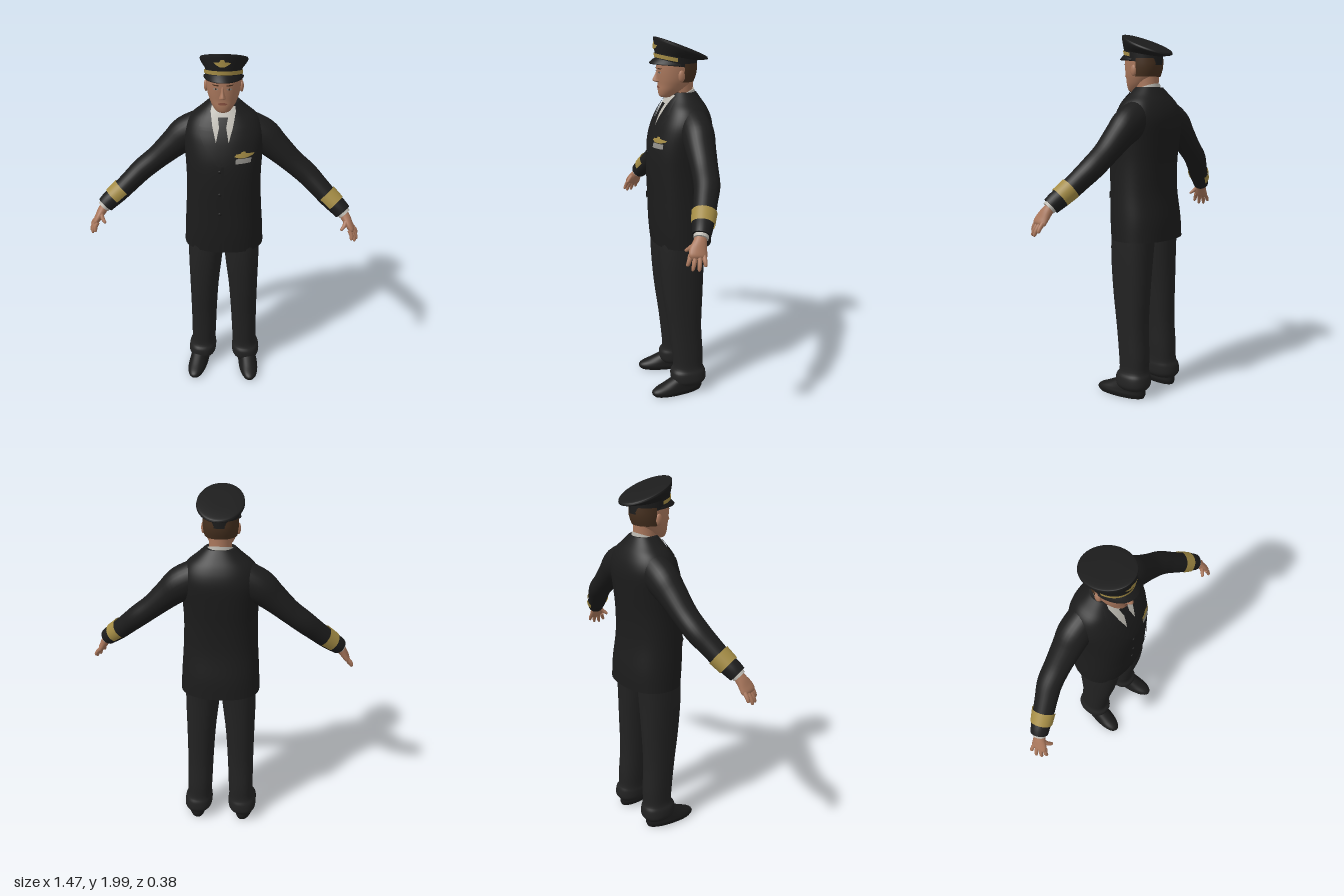
import * as THREE from 'three';

const mat = (name, color) => new THREE.MeshStandardMaterial({ name, color, side: THREE.DoubleSide });
const M = {
  coat: mat('coat black', 0x1c1c1c), trousers: mat('trouser black', 0x222222), shoe: mat('shoe black', 0x1a1a1a),
  skin: mat('skin', 0xa9775c), hair: mat('hair brown', 0x46301f), gold: mat('gold braid', 0xa48c45),
  shirt: mat('shirt white', 0xbdbab2), plate: mat('plate grey', 0x8f8d88), lips: mat('lips', 0x86503f),
};

// Skin a list of point rings; open rings make shells, closed ones get caps
function loft(rings, closed = true) {
  const n = rings[0].length, pos = [], idx = [];
  const add = (v) => pos.push(v.x, v.y, v.z) / 3 - 1;
  rings.forEach((r) => r.forEach(add));
  for (let i = 0; i < rings.length - 1; i++)
    for (let j = 0; j < (closed ? n : n - 1); j++) {
      const a = i * n + j, b = i * n + (j + 1) % n;
      idx.push(a, b, a + n, b, b + n, a + n);
    }
  if (closed) for (const end of [0, rings.length - 1]) {
    const r = rings[end], c = new THREE.Vector3();
    r.forEach((v) => c.addScaledVector(v, 1 / n));
    const k = add(c), ids = r.map(add);
    for (let j = 0; j < n; j++) {
      const p = ids[j], q = ids[(j + 1) % n];
      if (end) idx.push(k, p, q); else idx.push(k, q, p);
    }
  }
  const g = new THREE.BufferGeometry();
  g.setAttribute('position', new THREE.Float32BufferAttribute(pos, 3));
  g.setIndex(idx);
  g.computeVertexNormals();
  return g;
}

// Catmull-Rom resampling of rows of numbers
function smooth(rows, k = 4) {
  const out = [], at = (i) => rows[Math.min(Math.max(i, 0), rows.length - 1)];
  for (let i = 0; i < rows.length - 1; i++)
    for (let s = 0; s < k; s++) {
      const t = s / k;
      out.push(rows[i].map((p1, c) => {
        const p0 = at(i - 1)[c], p2 = at(i + 1)[c], p3 = at(i + 2)[c];
        return p1 + 0.5 * t * (p2 - p0 + t * (2 * p0 - 5 * p1 + 4 * p2 - p3 + t * (3 * (p1 - p2) + p3 - p0)));
      }));
    }
  out.push(rows[rows.length - 1]);
  return out;
}

const pw = (v, p) => Math.sign(v) * Math.abs(v) ** (2 / p);
const angles = (n, from, to) => Array.from({ length: from === undefined ? n : n + 1 },
  (_, j) => from === undefined ? (j / n) * Math.PI * 2 : THREE.MathUtils.degToRad(from + (to - from) * j / n));

// Horizontal sections: [y, xMin, xMax, zBack, zFront, slope]
function stack(rows, p = 2, from, to, n = 40) {
  return loft(rows.map(([y, x0, x1, z0, z1, slope = 0]) => angles(n, from, to).map((a) => {
    const z = (z0 + z1) / 2 + (z1 - z0) / 2 * pw(Math.cos(a), p);
    return new THREE.Vector3((x0 + x1) / 2 + (x1 - x0) / 2 * pw(Math.sin(a), p), y + slope * z, z);
  })), from === undefined);
}

// Front z of a stack at a given x and y
const frontOf = (rows, p) => (x, y) => {
  let i = 0;
  while (i < rows.length - 2 && rows[i + 1][0] < y) i++;
  const t = THREE.MathUtils.clamp((y - rows[i][0]) / (rows[i + 1][0] - rows[i][0]), 0, 1);
  const [, x0, x1, z0, z1] = rows[i].map((v, c) => v + (rows[i + 1][c] - v) * t);
  const u = Math.min(Math.abs((x - (x0 + x1) / 2) / ((x1 - x0) / 2)), 1);
  return (z0 + z1) / 2 + (z1 - z0) / 2 * (1 - u ** p) ** (1 / p);
};

// Thin sheet lying on a front surface; rows [y, xLeft, xRight] from bottom to top
function patch(rows, surf, off = 0.004) {
  const fine = [];
  rows.forEach((r, i) => {
    const q = rows[i + 1];
    if (q) for (let s = 0; s < 4; s++) fine.push(r.map((v, c) => v + (q[c] - v) * s / 4));
    else fine.push(r);
  });
  return loft(fine.map(([y, a, b]) => Array.from({ length: 11 }, (_, j) => {
    const x = a + (b - a) * j / 10;
    return new THREE.Vector3(x, y, surf(x, y) + off);
  })), false);
}

// Limb along a path: [x, y, z, radius across, radius along z]
function limb(points, from, to, n = 20, k = 4) {
  const rows = smooth(points, k), v3 = (r) => new THREE.Vector3(r[0], r[1], r[2]);
  return loft(rows.map((r, i) => {
    const d = v3(rows[Math.min(i + 1, rows.length - 1)]).sub(v3(rows[Math.max(i - 1, 0)])).normalize();
    const u = new THREE.Vector3(0, 0, 1).addScaledVector(d, -d.z).normalize(), v = d.clone().cross(u);
    return angles(n, from, to).map((a) => v3(r).addScaledVector(u, r[4] * Math.cos(a)).addScaledVector(v, r[3] * Math.sin(a)));
  }), from === undefined);
}

function mirrored(geo) {
  const g = geo.clone().scale(-1, 1, 1), ix = g.index.array;
  for (let i = 0; i < ix.length; i += 3) [ix[i], ix[i + 1]] = [ix[i + 1], ix[i]];
  g.computeVertexNormals();
  return g;
}

export function createModel() {
  const root = new THREE.Group();
  root.name = 'uniformedMan';
  const put = (name, geo, m) => {
    const mesh = new THREE.Mesh(geo, m);
    mesh.name = name;
    root.add(mesh);
  };
  const pair = (name, geo, m) => { put(name + 'Left', geo, m); put(name + 'Right', mirrored(geo), m); };
  const sym = (rows) => rows.map(([y, r, ...rest]) => [y, -r, r, ...rest]);
  const ball = (x, y, z, a, b, c) => new THREE.SphereGeometry(1, 16, 12).scale(a, b, c).translate(x, y, z);

  // Jacket
  const torso = smooth(sym([
    [0.89, 0.218, -0.19, 0.135], [1.0, 0.213, -0.186, 0.145], [1.15, 0.203, -0.166, 0.15], [1.3, 0.198, -0.168, 0.155],
    [1.42, 0.203, -0.18, 0.148], [1.52, 0.21, -0.188, 0.122], [1.58, 0.2, -0.18, 0.098], [1.63, 0.172, -0.16, 0.072],
    [1.67, 0.125, -0.135, 0.048], [1.71, 0.08, -0.108, 0.022]]));
  const chest = frontOf(torso, 2.3);
  put('jacket', stack(torso, 2.3, undefined, undefined, 56), M.coat);
  put('shirtFront', patch([[1.45, -0.008, 0.008], [1.58, -0.045, 0.045], [1.66, -0.068, 0.068], [1.7, -0.06, 0.06]], chest, 0.003), M.shirt);
  put('tie', patch([[1.44, -0.006, 0.006], [1.53, -0.034, 0.034], [1.61, -0.018, 0.018], [1.655, -0.026, 0.026]], chest, 0.008), M.coat);
  pair('lapel', patch([[1.42, -0.002, 0.02], [1.5, 0.022, 0.085], [1.59, 0.046, 0.125], [1.6, 0.049, 0.105],
    [1.61, 0.052, 0.122], [1.69, 0.066, 0.084]], chest, 0.009), M.coat);
  put('frontEdge', patch([[0.9, 0, 0.014], [1.42, -0.004, 0.01]], chest, 0.005), M.coat);
  pair('pocketFlap', patch([[1.11, 0.085, 0.175], [1.145, 0.08, 0.178]], chest, 0.007), M.coat);
  for (const y of [1.14, 1.26, 1.39]) put('button', ball(-0.012, y, chest(-0.012, y) + 0.002, 0.009, 0.009, 0.005), M.shoe);
  put('chestWings', patch([[1.463, 0.088, 0.128], [1.472, 0.058, 0.158], [1.481, 0.052, 0.164], [1.486, 0.093, 0.123],
    [1.495, 0.1, 0.116]], chest, 0.007), M.gold);
  put('namePlate', patch([[1.434, 0.07, 0.148], [1.46, 0.07, 0.148]], chest, 0.006), M.plate);

  // Sleeves, gold braid and shirt cuffs
  pair('sleeve', limb([[0.1, 1.56, -0.06, 0.095, 0.085], [0.2, 1.512, -0.062, 0.093, 0.086], [0.27, 1.455, -0.056, 0.077, 0.078],
    [0.36, 1.375, -0.048, 0.063, 0.069], [0.44, 1.31, -0.035, 0.06, 0.066], [0.5, 1.255, -0.01, 0.056, 0.06],
    [0.57, 1.19, 0.022, 0.052, 0.055], [0.62, 1.15, 0.045, 0.049, 0.05], [0.645, 1.127, 0.058, 0.045, 0.046]], undefined, undefined, 28), M.coat);
  pair('cuffBraid', limb([[0.55, 1.208, 0.013, 0.06, 0.063], [0.602, 1.164, 0.037, 0.056, 0.058]], 150, 385), M.gold);
  pair('shirtCuff', limb([[0.635, 1.137, 0.053, 0.037, 0.038], [0.655, 1.117, 0.063, 0.034, 0.036]]), M.shirt);

  // Hands: palm, four fingers and a thumb
  pair('palm', limb([[0.64, 1.13, 0.056, 0.026, 0.027], [0.662, 1.1, 0.07, 0.025, 0.034], [0.68, 1.07, 0.083, 0.021, 0.043],
    [0.695, 1.045, 0.09, 0.017, 0.044], [0.7, 1.035, 0.092, 0.006, 0.03]]), M.skin);
  const fingers = [['indexFinger', 0.682, 1.05, 0.122, 0.694, 1.0, 0.142], ['middleFinger', 0.69, 1.045, 0.102, 0.715, 0.982, 0.122],
    ['ringFinger', 0.695, 1.045, 0.081, 0.729, 0.982, 0.094], ['littleFinger', 0.694, 1.05, 0.061, 0.73, 1.002, 0.062],
    ['thumb', 0.662, 1.093, 0.098, 0.634, 1.055, 0.135]];
  for (const [name, x, y, z, X, Y, Z] of fingers) {
    const at = (t, r, bow) => [x + (X - x) * t + bow, y + (Y - y) * t, z + (Z - z) * t, r, r];
    pair(name, limb([at(0, 0.012, 0), at(0.5, 0.011, 0.005), at(0.9, 0.008, 0.001), at(1, 0.002, 0)], undefined, undefined, 10, 3), M.skin);
  }

  // Trousers with gathered hems
  pair('trouserLeg', stack(smooth([
    [0.05, 0.068, 0.2, -0.125, 0.045], [0.075, 0.052, 0.214, -0.14, 0.062], [0.12, 0.05, 0.21, -0.137, 0.064],
    [0.155, 0.054, 0.196, -0.124, 0.046], [0.24, 0.05, 0.194, -0.124, 0.052], [0.4, 0.043, 0.193, -0.115, 0.07],
    [0.6, 0.03, 0.195, -0.122, 0.098], [0.8, 0.008, 0.198, -0.13, 0.115], [0.95, -0.004, 0.195, -0.14, 0.115]]), 2.3), M.trousers);

  // Shoes
  pair('shoe', stack(smooth(sym([[0, 0.05, -0.112, 0.175], [0.02, 0.057, -0.12, 0.188], [0.04, 0.054, -0.12, 0.172],
    [0.062, 0.05, -0.118, 0.12], [0.095, 0.044, -0.105, 0.05]])), 2.2).rotateY(0.13).translate(0.147, 0, 0), M.shoe);

  // Neck, shirt collar and head
  put('neck', stack(sym([[1.62, 0.062, -0.1, 0.03], [1.7, 0.058, -0.092, 0.032], [1.78, 0.06, -0.095, 0.04]])), M.skin);
  put('shirtCollar', stack(sym([[1.65, 0.078, -0.105, 0.042, -0.3], [1.695, 0.067, -0.1, 0.036, -0.35]])), M.shirt);
  const skull = smooth(sym([[1.684, 0.02, 0.02, 0.075], [1.692, 0.038, 0.0, 0.088], [1.72, 0.06, -0.045, 0.094],
    [1.75, 0.074, -0.075, 0.094], [1.78, 0.083, -0.095, 0.097], [1.82, 0.088, -0.107, 0.1], [1.86, 0.089, -0.108, 0.099],
    [1.9, 0.086, -0.1, 0.092]]));
  const face = frontOf(skull, 2.2);
  put('head', stack(skull, 2.2), M.skin);
  put('nose', stack(smooth(sym([[1.762, 0.009, 0.07, 0.1], [1.769, 0.018, 0.07, 0.121], [1.778, 0.014, 0.07, 0.124],
    [1.8, 0.009, 0.07, 0.112], [1.828, 0.009, 0.07, 0.1]])), 2, undefined, undefined, 16), M.skin);
  put('mouth', patch([[1.731, -0.013, 0.013], [1.737, -0.026, 0.026], [1.743, -0.012, 0.012]], face, 0.002), M.lips);
  pair('eye', patch([[1.81, 0.028, 0.039], [1.814, 0.02, 0.047], [1.819, 0.026, 0.041]], face, 0.002), M.plate);
  pair('iris', patch([[1.81, 0.031, 0.036], [1.815, 0.029, 0.038], [1.82, 0.031, 0.036]], face, 0.003), M.hair);
  pair('eyebrow', patch([[1.831, 0.018, 0.046], [1.837, 0.02, 0.054]], face, 0.003), M.hair);
  pair('ear', ball(0.09, 1.798, -0.008, 0.011, 0.03, 0.018), M.skin);
  const scalp = (y) => {
    const r = skull.find((s) => s[0] >= y);
    return [y, r[1] - 0.004, r[2] + 0.004, r[3] - 0.004, r[4]];
  };
  put('hair', stack([1.765, 1.785, 1.81, 1.835, 1.86].map(scalp), 2.2, 98, 262), M.hair);

  // Peaked cap
  put('capBand', stack(sym([[1.848, 0.092, -0.114, 0.106, 0.2], [1.9, 0.094, -0.116, 0.11, 0.2]])), M.coat);
  put('capCrown', stack(smooth(sym([[1.893, 0.094, -0.116, 0.11, 0.2], [1.915, 0.11, -0.148, 0.113, 0.3], [1.934, 0.12, -0.17, 0.115, 0.36],
    [1.945, 0.12, -0.172, 0.115, 0.38], [1.952, 0.113, -0.163, 0.11, 0.38], [1.957, 0.07, -0.11, 0.06, 0.38],
    [1.958, 0.01, -0.04, -0.02, 0.38]])), 2), M.coat);
  put('capBraid', stack(sym([[1.868, 0.097, -0.118, 0.113, 0.2], [1.888, 0.098, -0.119, 0.114, 0.2]]), 2, -82, 82), M.gold);
  const brim = (rx, rz, y, lift) => angles(28, -88, 88).map((a) =>
    new THREE.Vector3(rx * Math.sin(a), y + lift * Math.cos(a), -0.005 + rz * Math.cos(a)));
  put('capVisor', loft([brim(0.09, 0.1, 1.846, 0.01), brim(0.1, 0.143, 1.85, 0.008), brim(0.101, 0.145, 1.854, 0.01),
    brim(0.096, 0.115, 1.858, 0.03)], false), M.shoe);
  const crownFront = (x) => -0.03 + 0.145 * Math.sqrt(1 - (x / 0.12) ** 2);
  put('capEmblem', patch([[1.932, -0.012, 0.012], [1.941, -0.03, 0.03], [1.952, -0.044, 0.044], [1.957, -0.014, 0.014],
    [1.968, -0.008, 0.008]], crownFront, 0.003), M.gold);
  return root;
}
